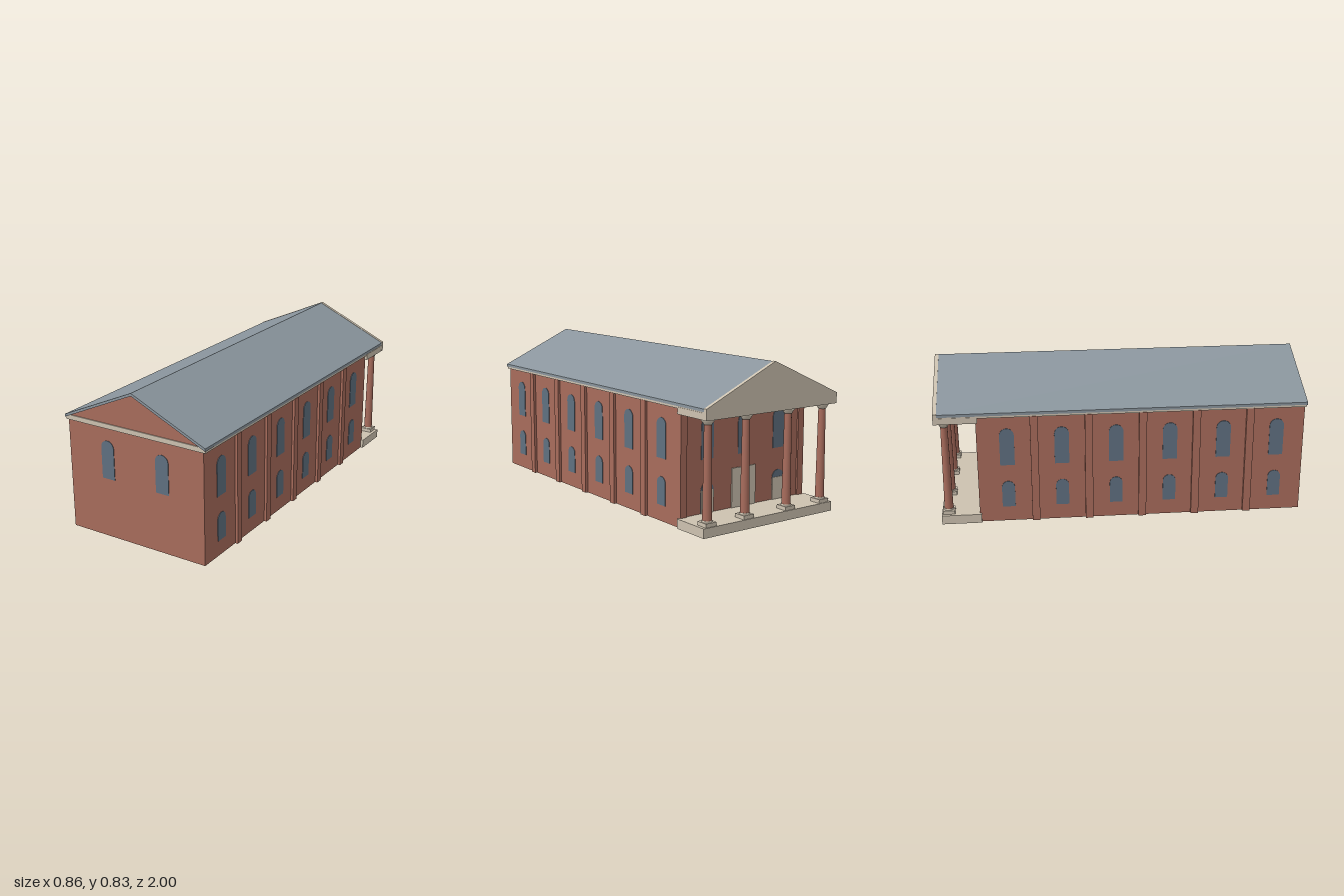
import * as THREE from 'three';

export function createModel() {
  const model = new THREE.Group();
  model.name = 'porticoHall';

  const material = (name, color) => {
    const m = new THREE.MeshStandardMaterial({ color });
    m.name = name;
    return m;
  };
  const brick = material('brick', 0xa86c5c);
  const stone = material('stone', 0xcdc2b0);
  const slate = material('slate', 0x8a959d);
  const glass = material('glass', 0x5f7080);

  const add = (name, geometry, mat, x = 0, y = 0, z = 0, turn = 0) => {
    const mesh = new THREE.Mesh(geometry, mat);
    mesh.name = name;
    mesh.position.set(x, y, z);
    mesh.rotation.y = turn;
    model.add(mesh);
    return mesh;
  };
  // Box given by its limits on each axis
  const block = (name, mat, x0, x1, y0, y1, z0, z1) =>
    add(name, new THREE.BoxGeometry(x1 - x0, y1 - y0, z1 - z0), mat,
      (x0 + x1) / 2, (y0 + y1) / 2, (z0 + z1) / 2);
  // Outline extruded along z
  const prism = (points, depth) => new THREE.ExtrudeGeometry(
    new THREE.Shape(points.map(([x, y]) => new THREE.Vector2(x, y))),
    { depth, bevelEnabled: false });
  // Thin round-headed plate standing on y = 0
  const archPlate = (width, height) => {
    const r = width / 2;
    const shape = new THREE.Shape();
    shape.moveTo(-r, 0);
    shape.lineTo(r, 0);
    shape.lineTo(r, height - r);
    shape.absarc(0, height - r, r, 0, Math.PI, false);
    shape.closePath();
    return new THREE.ExtrudeGeometry(shape, { depth: 0.003, bevelEnabled: false, curveSegments: 10 });
  };

  const WALL = 0.415, FRONT = 0.99, BACK = -0.77;

  // Hall, gable and eaves band
  block('walls', brick, -WALL, WALL, 0, 0.61, BACK, FRONT);
  add('gable', prism([[-0.41, 0.63], [0.41, 0.63], [0, 0.818]], 0.02), brick, 0, 0, FRONT - 0.02);
  block('eavesBand', stone, -0.428, 0.428, 0.608, 0.634, -0.98, 0.995);

  // Roof with a thin visible edge
  add('roof', prism([
    [-0.431, 0.62], [0, 0.815], [0.431, 0.62],
    [0.431, 0.635], [0, 0.83], [-0.431, 0.635],
  ], 1.98), slate, 0, 0, -0.98);

  // Side pilasters and two storeys of windows
  const tall = archPlate(0.078, 0.21);
  const small = archPlate(0.07, 0.15);
  for (const side of [-1, 1]) {
    for (let i = 0; i < 5; i++) {
      const z = 0.69 - i * 0.291;
      add('sidePilaster', new THREE.BoxGeometry(0.03, 0.61, 0.042), brick, side * 0.415, 0.305, z);
    }
    for (let i = 0; i < 6; i++) {
      const z = 0.84 - i * 0.292;
      add('upperSideWindow', tall, glass, side * WALL, 0.33, z, side * Math.PI / 2);
      add('lowerSideWindow', small, glass, side * WALL, 0.085, z, side * Math.PI / 2);
    }
    // Gable-end windows
    add('frontWindow', tall, glass, side * 0.168, 0.33, FRONT);
    // Corner pilasters and side doors under the portico
    add('cornerPilaster', new THREE.BoxGeometry(0.04, 0.58, 0.02), brick, side * 0.395, 0.29, BACK);
    add('sideDoorFanlight', archPlate(0.08, 0.16), glass, side * 0.24, 0.05, BACK, Math.PI);
    add('sideDoor', new THREE.BoxGeometry(0.08, 0.12, 0.008), stone, side * 0.24, 0.11, BACK - 0.002);
  }
  for (const x of [-0.24, 0, 0.24]) add('porticoWindow', tall, glass, x, 0.33, BACK, Math.PI);
  add('mainDoor', new THREE.BoxGeometry(0.16, 0.21, 0.008), stone, 0, 0.155, BACK - 0.002);

  // Portico floor, ceiling beam and pediment
  block('porticoFloor', stone, -0.43, 0.43, 0, 0.05, -0.985, BACK);
  block('entablature', stone, -0.43, 0.43, 0.58, 0.615, -0.99, BACK);
  add('pediment', prism([
    [-0.431, 0.58], [0.431, 0.58], [0.431, 0.637], [0, 0.832], [-0.431, 0.637],
  ], 0.02), stone, 0, 0, -1);

  // Columns with square bases and flared round capitals
  const capital = new THREE.LatheGeometry(
    [[0, 0], [0.021, 0], [0.023, 0.006], [0.034, 0.02], [0.034, 0.03], [0, 0.03]]
      .map(([r, y]) => new THREE.Vector2(r, y)), 20);
  for (const x of [-0.38, -0.14, 0.14, 0.38]) {
    const z = -0.947;
    add('columnBase', new THREE.BoxGeometry(0.066, 0.02, 0.066), stone, x, 0.06, z);
    add('columnFoot', new THREE.CylinderGeometry(0.026, 0.028, 0.008, 20), stone, x, 0.074, z);
    add('columnShaft', new THREE.CylinderGeometry(0.019, 0.024, 0.48, 20), brick, x, 0.315, z);
    add('columnCapital', capital, stone, x, 0.551, z);
  }
  return model;
}
